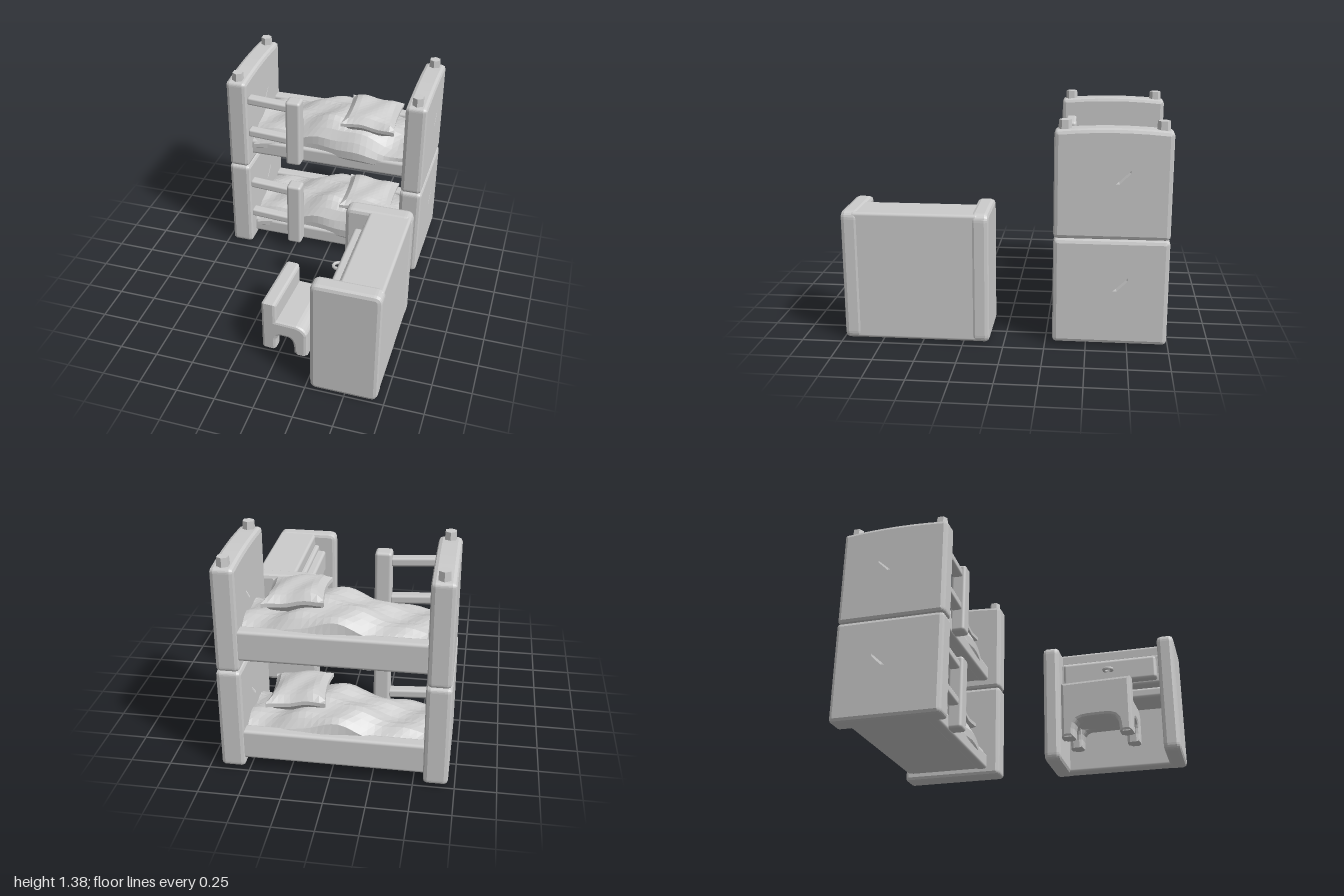
import * as THREE from 'three';
import { RoundedBoxGeometry } from 'three/addons/geometries/RoundedBoxGeometry.js';

const grey = new THREE.MeshStandardMaterial({ color: 0xcccccc });
const faceted = new THREE.MeshStandardMaterial({ color: 0xcccccc, flatShading: true });

function add(parent, name, geometry, material = grey) {
  const mesh = new THREE.Mesh(geometry, material);
  mesh.name = name;
  parent.add(mesh);
  return mesh;
}

// Rounded block given by its limits on each axis
function block(parent, name, [x0, x1], [y0, y1], [z0, z1], r = 0.02) {
  const g = new RoundedBoxGeometry(x1 - x0, y1 - y0, z1 - z0, 2, r);
  g.translate((x0 + x1) / 2, (y0 + y1) / 2, (z0 + z1) / 2);
  return add(parent, name, g);
}

// Outline with rounded corners and an optional bowed top
function outline(a0, a1, y0, y1, r, bow = 0) {
  const s = new THREE.Shape();
  s.moveTo(a0 + r, y0);
  s.lineTo(a1 - r, y0);
  s.quadraticCurveTo(a1, y0, a1, y0 + r);
  s.lineTo(a1, y1 - r);
  s.quadraticCurveTo(a1, y1, a1 - r, y1);
  if (bow) s.quadraticCurveTo((a0 + a1) / 2, y1 + bow * 2, a0 + r, y1);
  else s.lineTo(a0 + r, y1);
  s.quadraticCurveTo(a0, y1, a0, y1 - r);
  s.lineTo(a0, y0 + r);
  s.quadraticCurveTo(a0, y0, a0 + r, y0);
  return s;
}

// Slab standing on its outline with softened edges, from c0 to c1
function slab(shape, c0, c1, bevel, acrossX) {
  const g = new THREE.ExtrudeGeometry(shape, {
    depth: c1 - c0 - 2 * bevel, bevelEnabled: true, bevelThickness: bevel,
    bevelSize: bevel, bevelOffset: -bevel, bevelSegments: 2, curveSegments: 6,
  });
  g.translate(0, 0, bevel - (c1 - c0) / 2);
  if (acrossX) g.rotateY(-Math.PI / 2);
  const mid = (c0 + c1) / 2;
  return g.translate(acrossX ? mid : 0, 0, acrossX ? 0 : mid);
}

// Frame with an arch cut out between two legs
function arched(a0, a1, y0, y1, leg, archTop) {
  const s = new THREE.Shape();
  const m = (a0 + a1) / 2;
  s.moveTo(a0, y0);
  s.lineTo(a0 + leg, y0);
  s.bezierCurveTo(a0 + leg, archTop, a0 + leg + 0.02, archTop, m, archTop);
  s.bezierCurveTo(a1 - leg - 0.02, archTop, a1 - leg, archTop, a1 - leg, y0);
  s.lineTo(a1, y0);
  s.lineTo(a1, y1);
  s.lineTo(a0, y1);
  s.closePath();
  return s;
}

// End board with an eight-sided peephole
function endBoard(parent, x0, x1, z0, z1, y0, y1, bow, holeY) {
  const s = outline(z0, z1, y0, y1, 0.03, bow);
  const hole = new THREE.Path();
  for (let i = 0; i < 8; i++) {
    const t = -(i + 0.5) * Math.PI / 4;
    const p = [-0.635 + 0.095 * Math.cos(t), holeY + 0.095 * Math.sin(t)];
    i ? hole.lineTo(...p) : hole.moveTo(...p);
  }
  hole.closePath();
  s.holes.push(hole);
  add(parent, 'endBoard', slab(s, x0, x1, 0.025, true));
}

// Rumpled blanket: a block whose top follows soft humps and folds
function blanketGeometry() {
  const g = new THREE.BoxGeometry(1.1, 1, 0.53, 26, 3, 12);
  const p = g.attributes.position;
  for (let i = 0; i < p.count; i++) {
    const x = p.getX(i), t = p.getY(i) + 0.5, v = p.getZ(i) / 0.265;
    const hump = 0.955 + 0.10 * Math.exp(-(((x - 0.02) / 0.3) ** 2));
    const drop = 0.10 * Math.abs(v) ** 4 * (v > 0 ? 1 : 0.6);
    const folds = 0.012 * Math.sin(x * 19 + v * 4) + 0.008 * Math.sin(x * 9 - v * 8);
    const top = hump - drop + folds;
    const bulge = 0.02 * Math.sin(Math.PI * t) * (1 + Math.sin(x * 8));
    p.setY(i, 0.77 + (top - 0.77) * t);
    p.setZ(i, -0.665 + v * (0.255 + bulge));
  }
  g.computeVertexNormals();
  return g;
}

// Pillow: thick in the middle, thin at the seams, with drawn-out corners
function pillowGeometry() {
  const g = new THREE.BoxGeometry(2, 2, 2, 10, 2, 10);
  const p = g.attributes.position;
  for (let i = 0; i < p.count; i++) {
    const u = p.getX(i), w = p.getY(i), v = p.getZ(i);
    const thick = 0.012 + 0.053 * Math.sqrt((1 - u ** 4) * (1 - v ** 4));
    p.setXYZ(i, 0.185 * u * (1 - 0.09 * (1 - v * v)), w * thick + 0.006 * Math.sin(5 * u + 3 * v),
      0.2 * v * (1 - 0.09 * (1 - u * u)));
  }
  g.computeVertexNormals();
  return g;
}

// Mattress tray, bedding and ladder of one bunk
function bunk(name) {
  const b = new THREE.Group();
  b.name = name;
  const span = [-0.58, 0.55];
  block(b, 'bedBase', span, [0.745, 0.82], [-0.95, -0.4]);
  block(b, 'frontRail', span, [0.74, 0.85], [-0.46, -0.385]);
  block(b, 'backRail', span, [0.75, 0.945], [-0.975, -0.89]);
  add(b, 'blanket', blanketGeometry(), faceted);
  const pillow = add(b, 'pillow', pillowGeometry(), faceted);
  pillow.position.set(0.245, 1.055, -0.63);
  pillow.rotation.set(0.04, 0.04, -0.1);
  block(b, 'ladderPost', [-0.29, -0.185], [0.75, 1.24], [-0.4, -0.3]);
  for (const y of [0.935, 1.185]) {
    const rung = block(b, 'ladderRung', [-0.145, 0.145], [-0.028, 0.028], [-0.035, 0.035], 0.015);
    rung.position.set(-0.425, y, -0.355);
    rung.rotation.z = -0.06;
  }
  return b;
}

function bunkBed() {
  const bed = new THREE.Group();
  bed.name = 'bunkBed';
  for (const [x0, x1, z0, z1] of [[-0.71, -0.56, -1, -0.29], [0.525, 0.675, -0.99, -0.295]]) {
    endBoard(bed, x0, x1, z0, z1, 0.02, 0.68, 0, 0.475);
    endBoard(bed, x0 + 0.004, x1 - 0.004, z0, z1, 0.68, 1.335, 0.015, 1.135);
    for (const z of [z0 + 0.062, z1 - 0.062]) {
      const knob = add(bed, 'knob', new THREE.CylinderGeometry(0.037, 0.042, 0.08, 6), faceted);
      knob.position.set((x0 + x1) / 2, 1.35, z);
    }
  }
  const lower = bunk('lowerBunk');
  lower.position.y = -0.675;
  bed.add(bunk('upperBunk'), lower);
  return bed;
}

function desk() {
  const d = new THREE.Group();
  d.name = 'desk';
  for (const [z0, z1] of [[0.09, 0.2], [0.88, 0.99]])
    add(d, 'sidePanel', slab(outline(0.275, 0.705, 0.005, 0.825, 0.05), z0, z1, 0.025, false));
  const inside = [0.15, 0.93];
  block(d, 'backPanel', [0.6, 0.7], [0.012, 0.82], inside);
  block(d, 'topBoard', [0.43, 0.698], [0.73, 0.82], inside);
  block(d, 'workTop', [0.37, 0.65], [0.42, 0.49], inside);
  block(d, 'drawerCase', [0.4, 0.65], [0.53, 0.74], inside);
  block(d, 'drawerFront', [0.345, 0.42], [0.55, 0.71], [0.22, 0.86]);
  const handle = add(d, 'drawerHandle', new THREE.TorusGeometry(0.03, 0.011, 6, 10));
  handle.rotation.x = Math.PI / 2;
  handle.position.set(0.325, 0.63, 0.535);
  return d;
}

function chair() {
  const c = new THREE.Group();
  c.name = 'chair';
  // Built about its own centre, then turned a little
  add(c, 'chairBack', slab(arched(-0.225, 0.225, 0.02, 0.385, 0.08, 0.14), -0.155, -0.055, 0.02, true));
  add(c, 'frontLegs', slab(arched(-0.225, 0.225, 0.02, 0.19, 0.08, 0.14), 0.07, 0.155, 0.02, true));
  for (const z of [-0.185, 0.185])
    add(c, 'sideFrame', slab(arched(-0.15, 0.155, 0.02, 0.2, 0.09, 0.14), z - 0.04, z + 0.04, 0.02, false));
  const seat = new THREE.Shape();
  seat.moveTo(-0.12, 0.14);
  seat.lineTo(0.15, 0.14);
  seat.lineTo(0.155, 0.19);
  seat.quadraticCurveTo(0.14, 0.24, 0.08, 0.25);
  seat.lineTo(-0.12, 0.25);
  add(c, 'seat', slab(seat, -0.225, 0.225, 0.018, false));
  c.position.set(0.045, 0, 0.523);
  c.rotation.y = -0.055;
  return c;
}

export function createModel() {
  const room = new THREE.Group();
  room.name = 'bedroomSet';
  room.add(bunkBed(), desk(), chair());
  return room;
}
